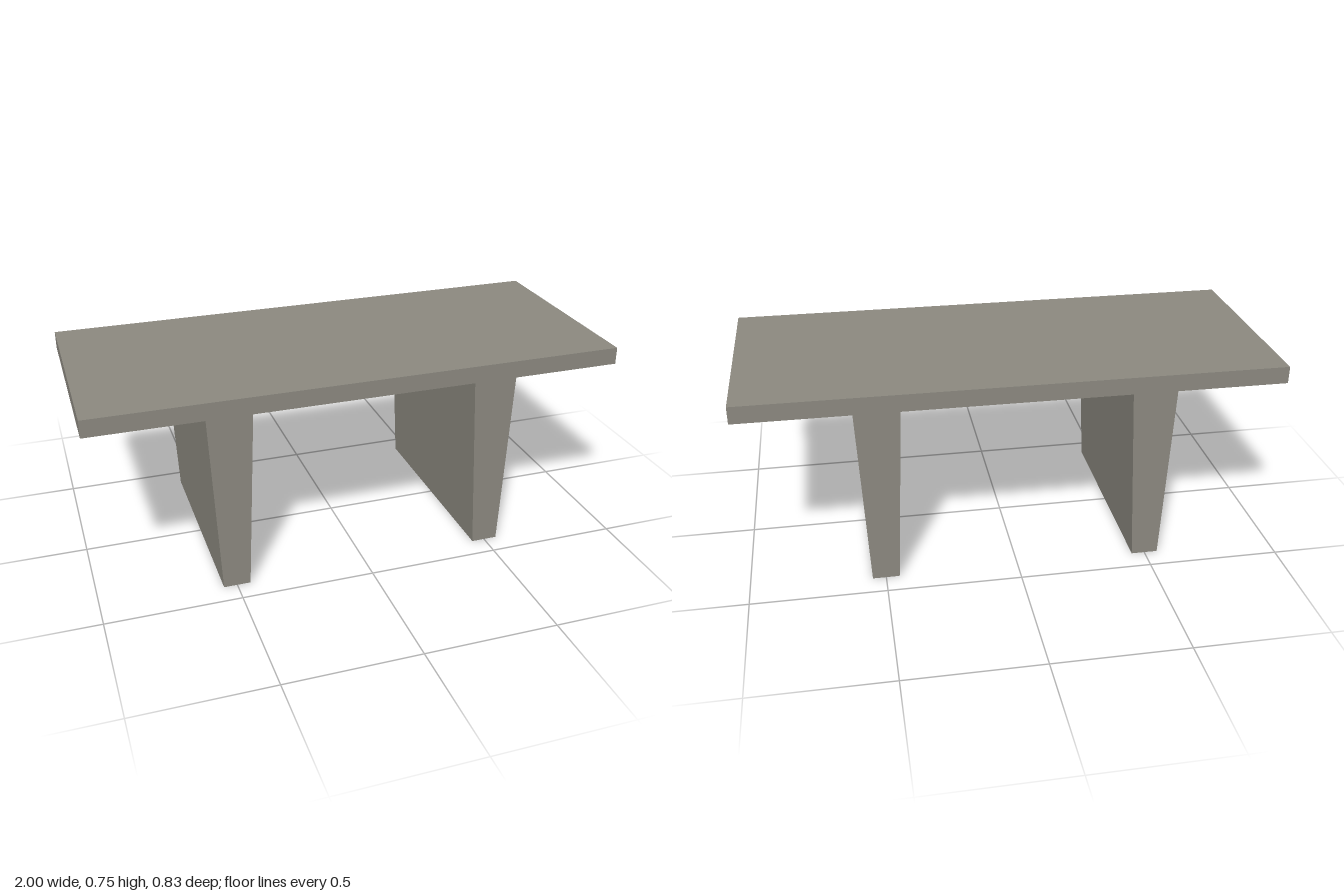
import * as THREE from 'three';

const DEPTH = 0.83;      // length of the beam along z
const TOP = 0.75;        // upper face of the deck
const UNDERSIDE = 0.685; // lower face of the deck

export function createModel() {
  const group = new THREE.Group();
  group.name = 'doubleTeeBeam';

  const concrete = new THREE.MeshStandardMaterial({ color: 0x8c8980 });
  concrete.name = 'concrete grey';

  // Cross-section: a flat deck with two tapered stems, counter-clockwise
  const points = [[-1, TOP], [-1, UNDERSIDE]];
  for (const x of [-0.5, 0.5]) {
    points.push(
      [x - 0.083, UNDERSIDE], [x - 0.05, 0],
      [x + 0.05, 0], [x + 0.083, UNDERSIDE],
    );
  }
  points.push([1, UNDERSIDE], [1, TOP]);
  const section = new THREE.Shape(points.map(([x, y]) => new THREE.Vector2(x, y)));

  // Deck and stems are one solid
  const geometry = new THREE.ExtrudeGeometry(section, { depth: DEPTH, bevelEnabled: false });
  geometry.translate(0, 0, -DEPTH / 2);
  const beam = new THREE.Mesh(geometry, concrete);
  beam.name = 'deckWithStems';
  group.add(beam);

  return group;
}
